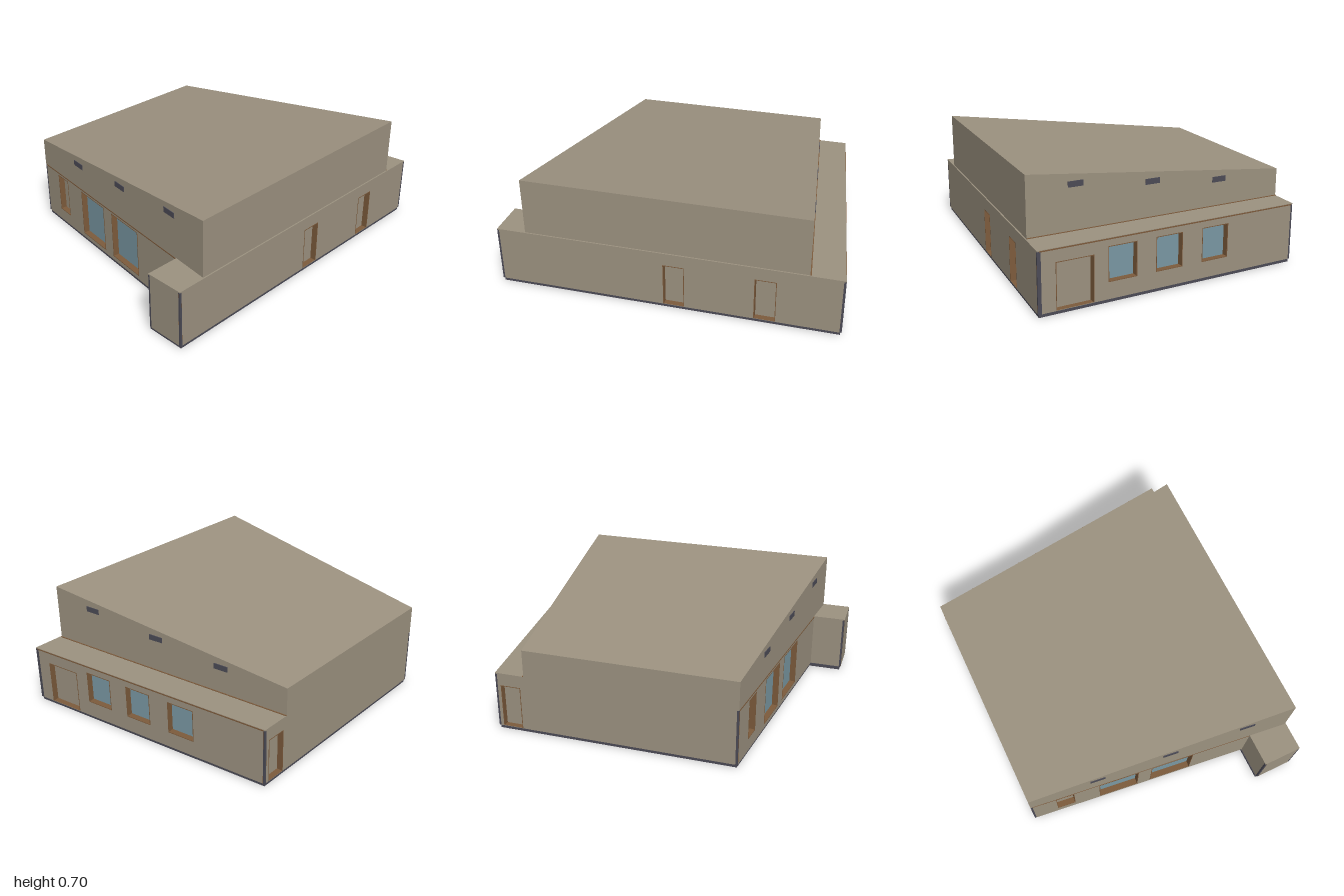
import * as THREE from 'three';

const mat = (name, color, extra = {}) => {
  const m = new THREE.MeshStandardMaterial({ color, ...extra });
  m.name = name;
  return m;
};

export function createModel() {
  const building = new THREE.Group();
  building.name = 'building';
  const tan = mat('wallTan', 0x9c9280);
  const brown = mat('frameBrown', 0x7d5b3c);
  const glass = mat('windowGlass', 0x7a98a3);
  const dark = mat('darkGrey', 0x4c4b56);

  const add = (parent, name, geo, material) => {
    const mesh = new THREE.Mesh(geo, material);
    mesh.name = name;
    parent.add(mesh);
    return mesh;
  };

  // Vertical prism over an [x, z] footprint; the top height may depend on z
  const prism = (name, pts, y0, topAt, material) => {
    const shape = new THREE.Shape(pts.map(([x, z]) => new THREE.Vector2(x, -z)));
    const geo = new THREE.ExtrudeGeometry(shape, { depth: 1, bevelEnabled: false });
    geo.rotateX(-Math.PI / 2);
    const p = geo.attributes.position;
    for (let i = 0; i < p.count; i++) p.setY(i, p.getY(i) > 0.5 ? topAt(p.getZ(i)) : y0);
    geo.computeVertexNormals();
    return add(building, name, geo, material);
  };

  // Group whose local x runs from a to b and whose local z points outward
  const wallFrame = (name, a, b) => {
    const g = new THREE.Group();
    g.name = name;
    g.position.set(a[0], 0, a[1]);
    g.rotation.y = Math.atan2(a[1] - b[1], b[0] - a[0]);
    building.add(g);
    return g;
  };
  const plate = (g, name, u0, u1, y0, y1, z, depth, material) =>
    add(g, name, new THREE.BoxGeometry(u1 - u0, y1 - y0, depth), material)
      .position.set((u0 + u1) / 2, (y0 + y1) / 2, z);

  const floor = 0.02, eave = 0.36, wallTop = 0.354, thick = 0.036;
  const footprint = [[-1, 0.805], [1, 0.805], [0.805, -0.81], [-0.63, -0.81], [-0.8, 0.57], [-1, 0.57]];
  const names = ['frontWall', 'rightWall', 'backWall', 'leftWall', 'annexBackWall', 'annexSideWall'];

  // Openings per wall: start, end, bottom, top, filling
  const right = (z0, z1, y0, y1, m) => [(0.805 - z0) * 1.007, (0.805 - z1) * 1.007, y0, y1, m];
  const left = (z0, z1, y0, y1, m) => [(z0 + 0.81) * 1.007, (z1 + 0.81) * 1.007, y0, y1, m];
  const openings = {
    frontWall: [[0.995, 1.11, 0.023, 0.28, tan], [1.515, 1.63, 0.023, 0.28, tan]],
    rightWall: [
      right(0.7, 0.49, 0.023, 0.28, tan),
      right(0.4, 0.235, 0.12, 0.31, glass),
      right(0.11, -0.05, 0.12, 0.31, glass),
      right(-0.185, -0.35, 0.12, 0.31, glass),
    ],
    backWall: [[0.035, 0.15, 0.023, 0.28, tan]],
    leftWall: [
      left(-0.65, -0.545, 0.1, 0.335, tan),
      left(-0.38, -0.14, 0.05, 0.335, glass),
      left(-0.05, 0.205, 0.05, 0.335, glass),
    ],
  };

  // Foundation slab and lower roof
  prism('foundation', footprint.map(([x, z]) => [x * 0.992, z * 0.992]), 0, () => floor, dark);
  prism('lowerRoof', footprint, wallTop, () => eave, tan);

  // Lower walls with recessed, brown-lined doors and windows
  footprint.forEach((a, i) => {
    const b = footprint[(i + 1) % footprint.length];
    const name = names[i];
    const len = Math.hypot(b[0] - a[0], b[1] - a[1]);
    const s = i === 4 ? 0 : 0.012;           // inner corner has no post
    const e = i === 3 ? len : len - 0.012;
    const g = wallFrame(name, a, b);
    const shape = new THREE.Shape([[s, floor], [e, floor], [e, wallTop], [s, wallTop]]
      .map(([u, y]) => new THREE.Vector2(u, y)));
    for (const [u0, u1, y0, y1, fill] of openings[name] || []) {
      shape.holes.push(new THREE.Path([[u0, y0], [u0, y1], [u1, y1], [u1, y0]]
        .map(([u, y]) => new THREE.Vector2(u, y))));
      const part = fill === glass ? 'windowPane' : 'doorPanel';
      plate(g, part, u0 - 0.003, u1 + 0.003, y0 - 0.002, y1 + 0.003, -thick - 0.002, 0.006, fill);
      // Slim frame line around the opening
      const w = 0.004;
      plate(g, 'frameSide', u0 - w, u0, y0, y1, 0, 0.002, brown);
      plate(g, 'frameSide', u1, u1 + w, y0, y1, 0, 0.002, brown);
      plate(g, 'frameHead', u0 - w, u1 + w, y1, y1 + w, 0, 0.002, brown);
      if (y0 > 0.03) plate(g, 'frameSill', u0 - w, u1 + w, y0 - w, y0, 0, 0.002, brown);
    }
    const geo = new THREE.ExtrudeGeometry(shape, { depth: thick, bevelEnabled: false });
    geo.translate(0, 0, -thick);
    add(g, name + 'Panel', geo, [tan, brown]);
    // Brown edge under the eaves of the long sides
    if (i === 1 || i === 3) plate(g, 'eaveTrim', s, e, 0.35, 0.357, 0, 0.003, brown);
    // Corner post
    if (i !== 4) {
      const px = a[0] - Math.sign(a[0]) * 0.0105;
      const pz = a[1] - (i === 5 ? -1 : Math.sign(a[1])) * 0.0105;
      add(building, 'cornerPost', new THREE.BoxGeometry(0.02, wallTop - floor, 0.02), dark)
        .position.set(px, (wallTop + floor) / 2, pz);
    }
  });

  // Upper storey with a roof sloping down to the back
  const upper = [[-0.828, 0.797], [0.808, 0.797], [0.625, -0.81], [-0.63, -0.81]];
  const roofAt = (z) => 0.525 + (z + 0.81) / 1.607 * 0.173;
  prism('upperStorey', upper, eave, roofAt, tan);

  // Vents on both upper sides, and a brown strip at the foot of the right one
  const rightUpper = wallFrame('rightUpperWall', upper[1], upper[2]);
  const leftUpper = wallFrame('leftUpperWall', upper[3], upper[0]);
  for (const [z, y] of [[0.515, 0.615], [0.05, 0.565], [-0.392, 0.517]]) {
    const r = (0.797 - z) * 1.0065, l = (z + 0.81) * 1.0077;
    plate(rightUpper, 'vent', r - 0.045, r + 0.045, y - 0.016, y + 0.016, 0, 0.008, dark);
    plate(leftUpper, 'vent', l - 0.045, l + 0.045, y - 0.016, y + 0.016, 0, 0.008, dark);
  }
  plate(rightUpper, 'footTrim', 0, 1.617, eave, eave + 0.003, 0.003, 0.008, brown);

  return building;
}
